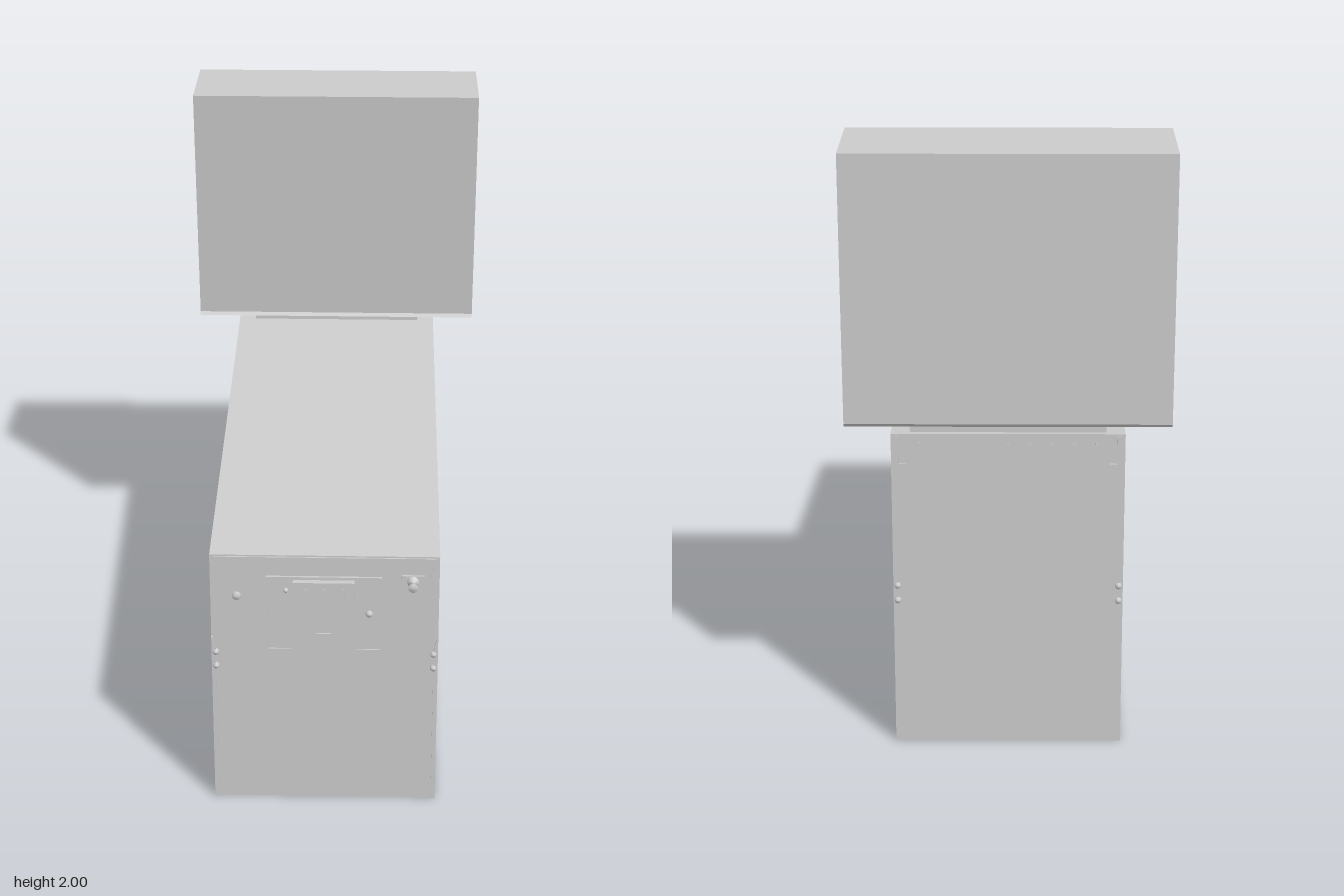
import * as THREE from 'three';

const mat = new THREE.MeshStandardMaterial({ color: 0xcccccc, flatShading: true });
const smooth = new THREE.MeshStandardMaterial({ color: 0xcccccc });

export function createModel() {
  const model = new THREE.Group();

  function add(name, geometry, material = mat) {
    const mesh = new THREE.Mesh(geometry, material);
    mesh.name = name;
    model.add(mesh);
    return mesh;
  }

  // Box given by its limits on each axis
  function box(name, x0, x1, y0, y1, z0, z1) {
    const m = add(name, new THREE.BoxGeometry(x1 - x0, y1 - y0, z1 - z0));
    m.position.set((x0 + x1) / 2, (y0 + y1) / 2, (z0 + z1) / 2);
  }

  // Side profile of [z, y] points, extruded across the full width
  function sideExtrude(name, points, halfWidth) {
    const shape = new THREE.Shape(points.map(([z, y]) => new THREE.Vector2(-z, y)));
    const g = new THREE.ExtrudeGeometry(shape, { depth: halfWidth * 2, bevelEnabled: false });
    g.translate(0, 0, -halfWidth).rotateY(Math.PI / 2);
    add(name, g);
  }

  // Turned part along z; profile is [radius, z] from the base outwards
  function turned(name, x, y, z, profile, facing = 1) {
    const g = new THREE.LatheGeometry(profile.map(([r, h]) => new THREE.Vector2(r, h)), 16);
    g.rotateX(facing * Math.PI / 2);
    add(name, g, smooth).position.set(x, y, z);
  }
  const dome = (r, h) => [[r, 0], [r, h * 0.4], [r * 0.75, h * 0.8], [0, h]];

  // Sloping cabinet, neck and tapered head box
  sideExtrude('cabinet', [[0.875, 0], [0.875, 0.925], [-0.9, 1.09], [-0.9, 0]], 0.37);
  box('neck', -0.31, 0.31, 1.06, 1.125, -0.88, -0.73);
  sideExtrude('headBox', [
    [-0.65, 1.12], [-0.658, 1.132], [-0.588, 2], [-0.925, 2], [-0.925, 1.132], [-0.915, 1.12],
  ], 0.515);

  // Trim bar under the front edge of the top
  box('frontTrim', -0.355, 0.355, 0.912, 0.92, 0.872, 0.88);

  // Coin door with raised frame strips and fittings
  box('coinDoor', -0.187, 0.182, 0.58, 0.845, 0.87, 0.878);
  for (const x of [-0.19, 0.179]) box('doorSideFrame', x, x + 0.006, 0.577, 0.848, 0.87, 0.883);
  for (const x of [-0.19, 0.105]) box('doorLowerFrame', x, x + 0.08, 0.575, 0.582, 0.87, 0.883);
  box('doorHinge', -0.19, 0.185, 0.843, 0.85, 0.87, 0.883);
  box('coinPlate', -0.102, 0.096, 0.76, 0.837, 0.87, 0.898);
  for (const x of [-0.06, 0, 0.06]) box('coinSlot', x - 0.004, x + 0.004, 0.78, 0.815, 0.895, 0.901);
  box('coinReturn', -0.026, 0.021, 0.598, 0.64, 0.87, 0.884);
  turned('doorLock', 0.145, 0.715, 0.876, dome(0.012, 0.014));
  turned('doorButton', -0.125, 0.8, 0.876, dome(0.008, 0.014));
  turned('startButton', -0.285, 0.775, 0.873, dome(0.015, 0.012));

  // Plunger on its mounting plate
  box('plungerPlate', 0.248, 0.322, 0.772, 0.858, 0.87, 0.882);
  turned('plunger', 0.285, 0.837, 0.88, [
    [0.02, 0], [0.018, 0.012], [0.006, 0.014], [0.006, 0.035], [0.016, 0.038], [0.016, 0.044], [0, 0.046],
  ]);

  for (const side of [-1, 1]) {
    const sided = (name, a, b, ...rest) =>
      box(name, Math.min(side * a, side * b), Math.max(side * a, side * b), ...rest);

    // Corner plates with tapered tops on the front
    const plate = new THREE.Shape([
      [0.37, 0], [0.37, 0.625], [0.364, 0.62], [0.356, 0.58], [0.356, 0],
    ].map(([x, y]) => new THREE.Vector2(side * x, y)));
    const g = new THREE.ExtrudeGeometry(plate, { depth: 0.01, bevelEnabled: false });
    add('cornerPlate', g.translate(0, 0, 0.872));

    // Brackets below the trim and at the back top corners
    sided('trimBracket', 0.35, 0.358, 0.882, 0.918, 0.87, 0.88);
    sided('backBracket', 0.345, 0.357, 0.985, 1.085, -0.906, -0.895);
    sided('backBracketFoot', 0.32, 0.357, 0.98, 0.99, -0.906, -0.895);

    // Corner bolts, front and back
    for (const y of [0.513, 0.565]) {
      turned('frontBolt', side * 0.356, y, 0.875, dome(0.011, 0.014), 1);
      turned('backBolt', side * 0.356, y, -0.898, dome(0.011, 0.012), -1);
    }
  }

  // Row of small screws along the top of the back
  for (let i = 0; i < 9; i++) {
    box('backScrew', -0.284 + i * 0.07, -0.276 + i * 0.07, 1.056, 1.06, -0.903, -0.895);
  }

  return model;
}
